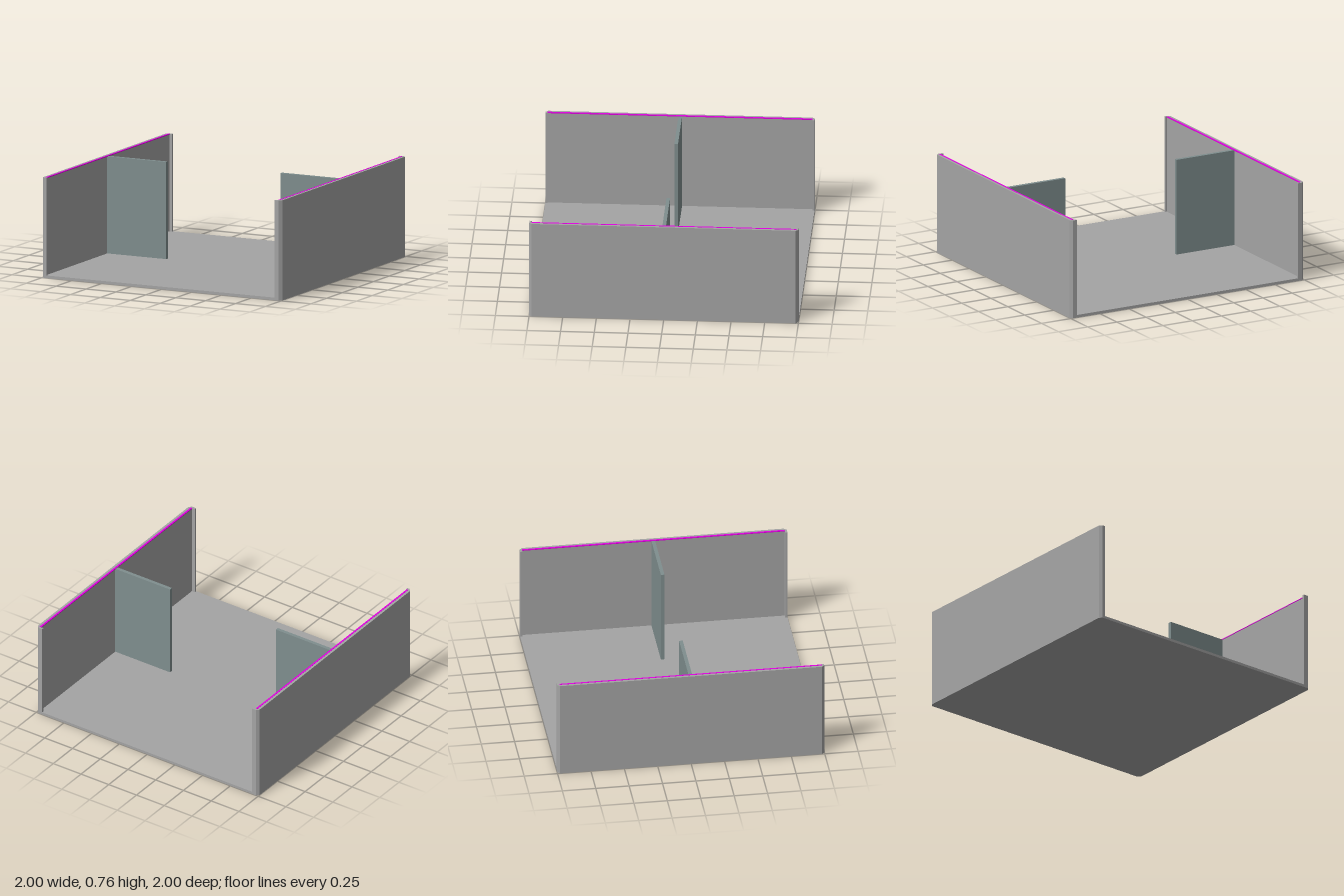
import * as THREE from 'three';

const H = 0.755, FLOOR = 0.02, CUT = 0.02, INNER = 0.97, LIP = 0.983;
const grey = new THREE.MeshStandardMaterial({ color: 0xa4a4a4, flatShading: true });
const teal = new THREE.MeshStandardMaterial({ color: 0x7f8e8e, flatShading: true });
const magenta = new THREE.MeshStandardMaterial({ color: 0xe000e0, flatShading: true });

// Extrude a plan outline given as [x, z] points upward from y0 to y1
function prism(name, plan, y0, y1, material) {
  const shape = new THREE.Shape(plan.map(([x, z]) => new THREE.Vector2(x, -z)));
  const geometry = new THREE.ExtrudeGeometry(shape, { depth: y1 - y0, bevelEnabled: false });
  geometry.rotateX(-Math.PI / 2).translate(0, y0, 0);
  const mesh = new THREE.Mesh(geometry, material);
  mesh.name = name;
  return mesh;
}

function box(name, x0, x1, y0, y1, z0, z1, material) {
  const mesh = new THREE.Mesh(new THREE.BoxGeometry(x1 - x0, y1 - y0, z1 - z0), material);
  mesh.position.set((x0 + x1) / 2, (y0 + y1) / 2, (z0 + z1) / 2);
  mesh.name = name;
  return mesh;
}

export function createModel() {
  const model = new THREE.Group();
  model.name = 'openEndedRoom';

  // Floor slab with chamfered corners
  const c = 1 - CUT;
  model.add(prism('floor', [
    [-c, -1], [c, -1], [1, -c], [1, c], [c, 1], [-c, 1], [-1, c], [-1, -c],
  ], 0, FLOOR, grey));

  for (const s of [1, -1]) {
    const side = s > 0 ? 'left' : 'right';
    const frontReturn = s > 0 ? 0.943 : 0.96;
    const backReturn = 0.947;

    // Side wall with chamfered outer corners and short returns at both ends
    const plan = [
      [frontReturn, 1], [c, 1], [1, c], [1, -c], [c, -1], [backReturn, -1],
      [backReturn, -LIP], [INNER, -LIP], [INNER, LIP], [frontReturn, LIP],
    ].map(([x, z]) => [s * x, z]);
    model.add(prism(side + 'Wall', plan, FLOOR, H, grey));

    // Thin coloured strip along the inner top edge of the wall
    const strip = box(side + 'Trim', 0.967, 0.981, H - 0.005, H + 0.001, -LIP, LIP, magenta);
    strip.position.x *= s;
    model.add(strip);

    // Half-width partition projecting from the middle of the wall
    const partition = box(side + 'Partition', 0.477, INNER, FLOOR, H - 0.003, -0.015, 0.012, teal);
    partition.position.x *= s;
    model.add(partition);
  }
  return model;
}
